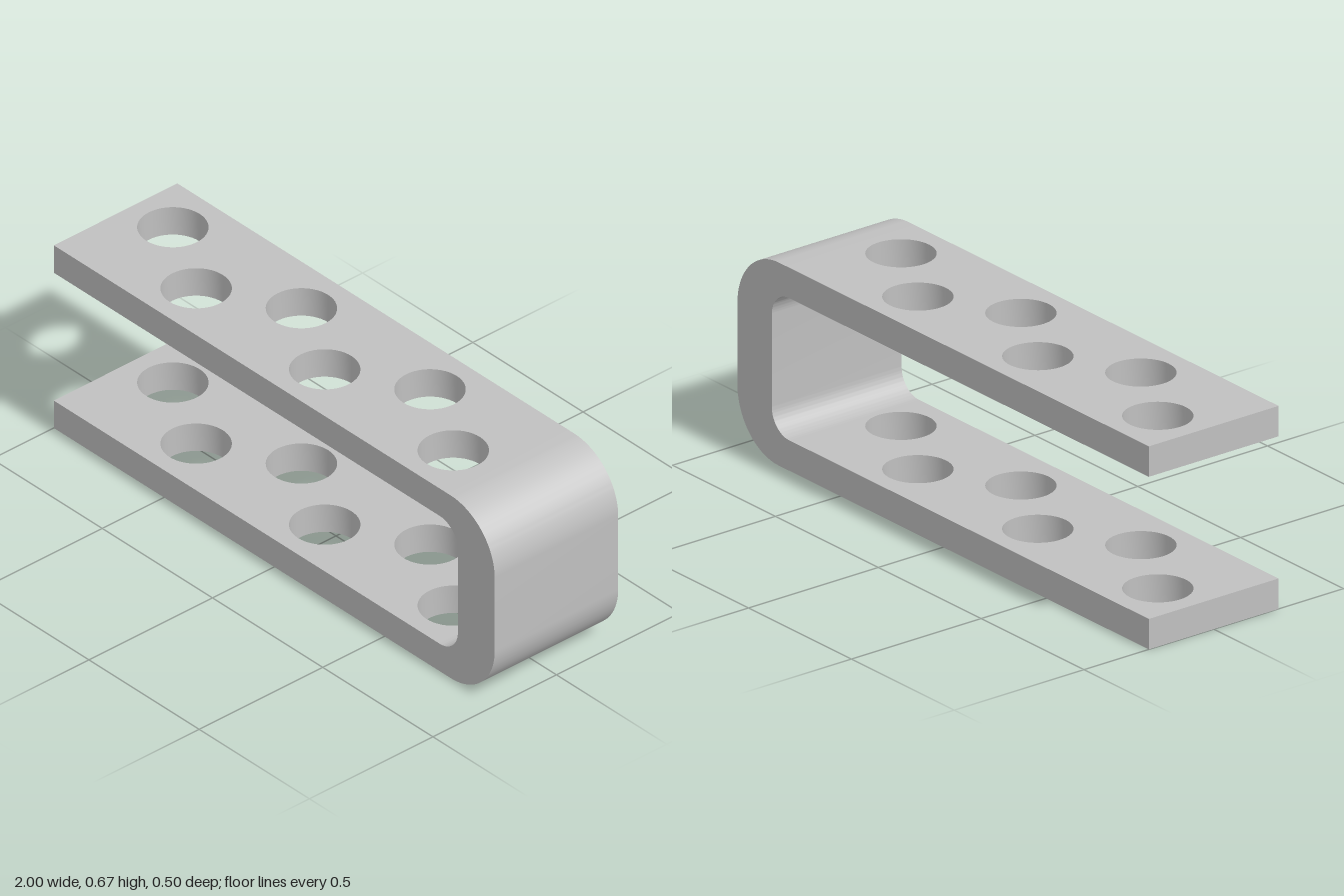
import * as THREE from 'three';
import { toCreasedNormals } from 'three/addons/utils/BufferGeometryUtils.js';

const HEIGHT = 0.667, DEPTH = 0.5, THICK = 0.1;
const SEAM = 0.745;        // x where the flat legs meet the bend
const WALL = 0.833;        // inner face of the upright wall
const R_OUT = 0.2, R_IN = 0.083;
const HOLE_R = 0.108, HOLE_Z = 0.083;

// Drops the hidden end faces at the seam and smooths only the curved faces.
function finish(geometry) {
  const p = geometry.attributes.position;
  const kept = [];
  for (let i = 0; i < p.count; i += 3) {
    const corners = [i, i + 1, i + 2];
    if (corners.every((k) => Math.abs(p.getX(k) - SEAM) < 1e-4)) continue;
    for (const k of corners) kept.push(p.getX(k), p.getY(k), p.getZ(k));
  }
  const open = new THREE.BufferGeometry();
  open.setAttribute('position', new THREE.Float32BufferAttribute(kept, 3));
  return toCreasedNormals(open, 0.6);
}

// Flat plate with two staggered rows of round holes
function legGeometry() {
  const h = DEPTH / 2;
  const plate = new THREE.Shape([
    new THREE.Vector2(-1, -h), new THREE.Vector2(SEAM, -h),
    new THREE.Vector2(SEAM, h), new THREE.Vector2(-1, h),
  ]);
  for (let i = 0; i < 6; i++) {
    const hole = new THREE.Path();
    hole.absarc(-0.833 + i * 0.2916, i % 2 ? HOLE_Z : -HOLE_Z, HOLE_R, 0, Math.PI * 2, true);
    plate.holes.push(hole);
  }
  const geometry = new THREE.ExtrudeGeometry(plate, { depth: THICK, bevelEnabled: false, curveSegments: 24 });
  geometry.rotateX(Math.PI / 2).translate(0, THICK, 0);
  return finish(geometry);
}

// Upright wall with rounded corners, open towards the legs
function bendGeometry() {
  const q = Math.PI / 2;
  const s = new THREE.Shape();
  s.moveTo(SEAM, 0);
  s.lineTo(1 - R_OUT, 0);
  s.absarc(1 - R_OUT, R_OUT, R_OUT, -q, 0, false);
  s.absarc(1 - R_OUT, HEIGHT - R_OUT, R_OUT, 0, q, false);
  s.lineTo(SEAM, HEIGHT);
  s.lineTo(SEAM, HEIGHT - THICK);
  s.absarc(WALL - R_IN, HEIGHT - THICK - R_IN, R_IN, q, 0, true);
  s.absarc(WALL - R_IN, THICK + R_IN, R_IN, 0, -q, true);
  s.lineTo(SEAM, THICK);
  s.closePath();
  const geometry = new THREE.ExtrudeGeometry(s, { depth: DEPTH, bevelEnabled: false, curveSegments: 16 });
  geometry.translate(0, 0, -DEPTH / 2);
  return finish(geometry);
}

export function createModel() {
  const grey = new THREE.MeshStandardMaterial({ color: 0xc0c0c0 });
  grey.name = 'grey';
  const model = new THREE.Group();
  model.name = 'perforatedBracket';

  const leg = legGeometry();
  for (const [name, y] of [['lowerLeg', 0], ['upperLeg', HEIGHT - THICK]]) {
    const mesh = new THREE.Mesh(leg, grey);
    mesh.name = name;
    mesh.position.y = y;
    model.add(mesh);
  }

  const bend = new THREE.Mesh(bendGeometry(), grey);
  bend.name = 'bend';
  model.add(bend);
  return model;
}
